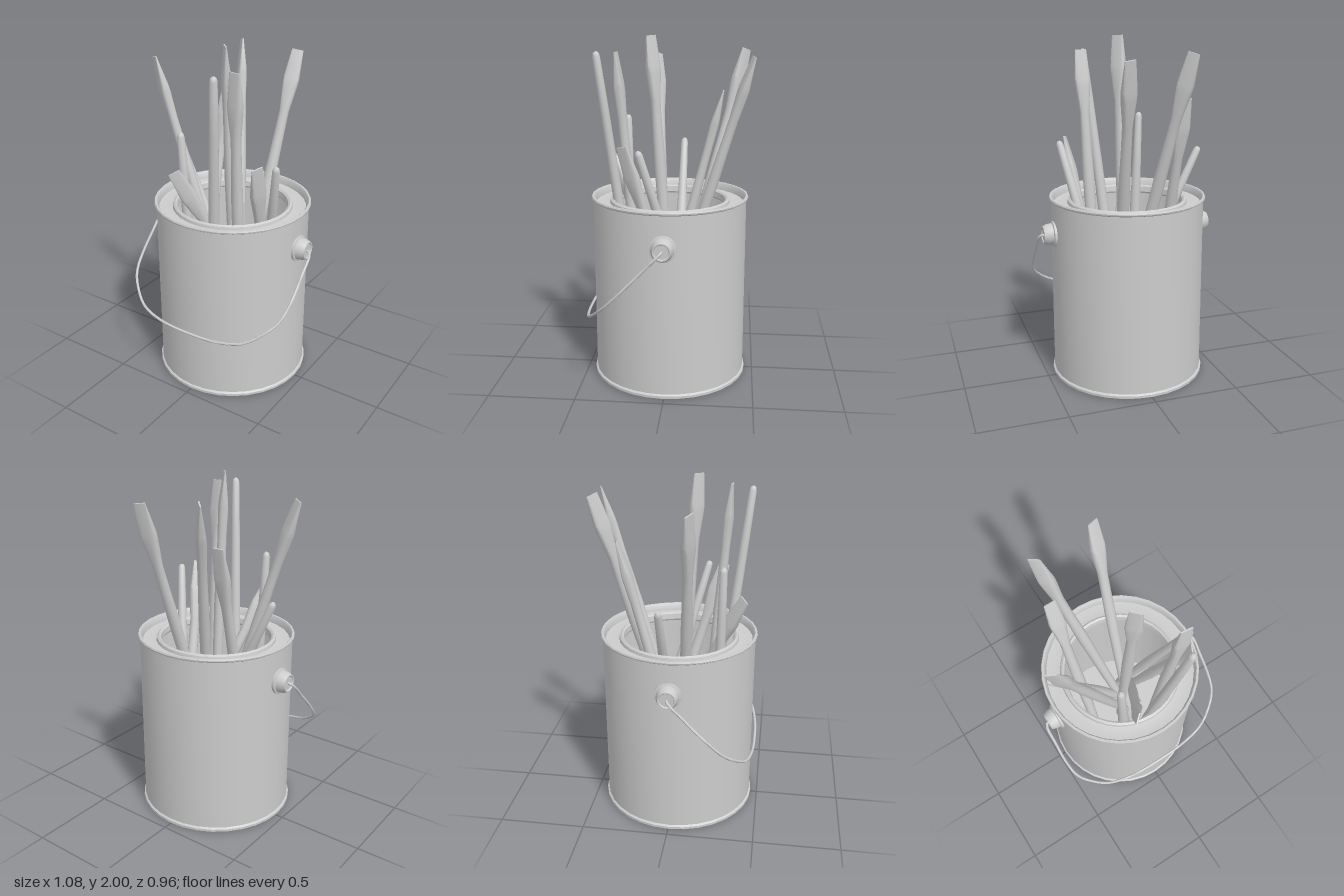
import * as THREE from 'three';
import { toCreasedNormals } from 'three/addons/utils/BufferGeometryUtils.js';

const grey = new THREE.MeshStandardMaterial({ color: 0xcccccc });
grey.name = 'plain grey';

const CZ = 0.005; // can axis in z
const SIDES = 12;

function part(name, geometry, crease = 0.6) {
  const mesh = new THREE.Mesh(toCreasedNormals(geometry, crease), grey);
  mesh.name = name;
  return mesh;
}

// Brush lofted from the bristle tip (head) to the rounded handle end.
// Each section: distance, half width, half thickness, roundness power.
function brushGeometry(head, end, wide) {
  const axis = end.clone().sub(head);
  const L = axis.length();
  axis.normalize();
  const u = wide.clone().addScaledVector(axis, -wide.dot(axis)).normalize();
  const v = axis.clone().cross(u);
  const sections = [
    [0, 0.034, 0.004, 0.4],
    [0.17, 0.046, 0.024, 0.5],
    [0.21, 0.044, 0.027, 0.6],
    [0.36, 0.028, 0.025, 0.8],
    [0.5, 0.03, 0.027, 1],
    [0.75, 0.035, 0.031, 1],
    [L - 0.3, 0.026, 0.025, 1],
    [L - 0.025, 0.021, 0.021, 1],
    [L - 0.008, 0.016, 0.016, 1],
    [L, 0.007, 0.007, 1],
  ];
  const pos = [], index = [];
  const bend = (c, q) => Math.sign(c) * Math.pow(Math.abs(c), q);
  const push = (p) => pos.push(p.x, p.y, p.z);
  for (const [d, w, t, q] of sections) {
    for (let i = 0; i < SIDES; i++) {
      const a = ((i + 0.5) / SIDES) * Math.PI * 2;
      push(head.clone().addScaledVector(axis, d)
        .addScaledVector(u, w * bend(Math.cos(a), q))
        .addScaledVector(v, t * bend(Math.sin(a), q)));
    }
  }
  const last = (sections.length - 1) * SIDES;
  const headCentre = last + SIDES, endCentre = headCentre + 1;
  push(head);
  push(end);
  for (let i = 0; i < SIDES; i++) {
    const j = (i + 1) % SIDES;
    for (let r = 0; r < last; r += SIDES) {
      index.push(r + i, r + j, r + SIDES + j, r + i, r + SIDES + j, r + SIDES + i);
    }
    index.push(headCentre, j, i, endCentre, last + i, last + j);
  }
  const g = new THREE.BufferGeometry();
  g.setAttribute('position', new THREE.Float32BufferAttribute(pos, 3));
  g.setIndex(index);
  return g;
}

function createCan() {
  // Closed profile: underside, outer wall, lid groove, mouth, inside wall, floor
  const profile = [
    [0, 0.02], [0.438, 0.02], [0.442, 0.004], [0.45, 0], [0.457, 0.006], [0.457, 0.02], [0.447, 0.028],
    [0.447, 1.068], [0.457, 1.074], [0.459, 1.082], [0.455, 1.09], [0.445, 1.09], [0.438, 1.082],
    [0.432, 1.045], [0.385, 1.04], [0.352, 1.045], [0.348, 1.062], [0.336, 1.07], [0.325, 1.062],
    [0.32, 1.03], [0.325, 1.02], [0.438, 1.025], [0.438, 0.035], [0, 0.035],
  ].map(([r, y]) => new THREE.Vector2(r, y));
  const can = part('can', new THREE.LatheGeometry(profile, 32));
  can.position.z = CZ;
  return can;
}

function createEar(side) {
  const profile = [
    [0.076, -0.02], [0.076, 0.008], [0.064, 0.012], [0.061, 0.04], [0.05, 0.064], [0.044, 0.064], [0.04, 0.058], [0, 0.058],
  ].map(([r, y]) => new THREE.Vector2(r, y));
  const ear = part(side > 0 ? 'leftEar' : 'rightEar', new THREE.LatheGeometry(profile, 20));
  ear.rotation.z = -side * Math.PI / 2;
  ear.position.set(side * 0.445, 0.885, CZ);
  return ear;
}

function createBail() {
  // Half of the wire as [x, distance forward and down], then mirrored
  const half = [
    [0.49, 0], [0.516, 0.003], [0.528, 0.02], [0.53, 0.1], [0.53, 0.21], [0.513, 0.295],
    [0.47, 0.35], [0.355, 0.427], [0.2, 0.46],
  ];
  const points = [...half, [0, 0.468], ...half.map(([x, s]) => [-x, s]).reverse()]
    .map(([x, s]) => new THREE.Vector3(x, 0.885 - s * 1.025, CZ + s));
  const curve = new THREE.CatmullRomCurve3(points, false, 'centripetal');
  return part('wireHandle', new THREE.TubeGeometry(curve, 72, 0.008, 8), 1);
}

export function createModel() {
  const group = new THREE.Group();
  group.name = 'paintCanWithBrushes';
  group.add(createCan(), createEar(1), createEar(-1), createBail());

  // Bristles up: tip, lower end, direction of the flat side in x and z
  const bristlesUp = [
    [[0.14, 1.885, -0.465], [0.04, 0.05, 0.1], [0.95, -0.3]],
    [[-0.22, 1.915, -0.425], [0.08, 0.05, 0.05], [0.7, 0.7]],
    [[-0.235, 1.67, -0.295], [-0.2, 0.05, 0.12], [1, 0]],
    [[-0.455, 1.88, 0.115], [0.1, 0.05, 0.02], [0.85, 0.5]],
    [[0.022, 1.995, 0.11], [0.01, 0.05, -0.02], [0.7, 0.7]],
    [[-0.13, 1.34, 0.385], [0.23, 0.05, -0.22], [0.7, -0.7]],
    [[0.31, 1.41, 0.24], [0.13, 0.05, -0.17], [0.4, -0.9]],
    [[0.195, 1.91, 0.28], [0.14, 0.05, 0.13], [1, 0.1]],
  ];
  // Bristles down: raised handle end, lower tip, direction of the flat side
  const bristlesDown = [
    [[-0.425, 1.355, -0.05], [0.19, 0.05, -0.04], [0, 1]],
    [[0.37, 1.4, 0.145], [0.08, 0.05, -0.22], [1, -0.6]],
    [[0.15, 1.91, 0.4], [-0.02, 0.05, 0.18], [1, 0]],
    [[-0.165, 1.53, 0.27], [-0.1, 0.05, 0.24], [1, 0.3]],
  ];
  const V = (p) => new THREE.Vector3(...p);
  bristlesUp.forEach(([top, low, [x, z]], i) =>
    group.add(part(`brush${i + 1}`, brushGeometry(V(top), V(low), V([x, 0, z])), 0.7)));
  bristlesDown.forEach(([top, low, [x, z]], i) =>
    group.add(part(`upturnedBrush${i + 1}`, brushGeometry(V(low), V(top), V([x, 0, z])), 0.7)));
  return group;
}
